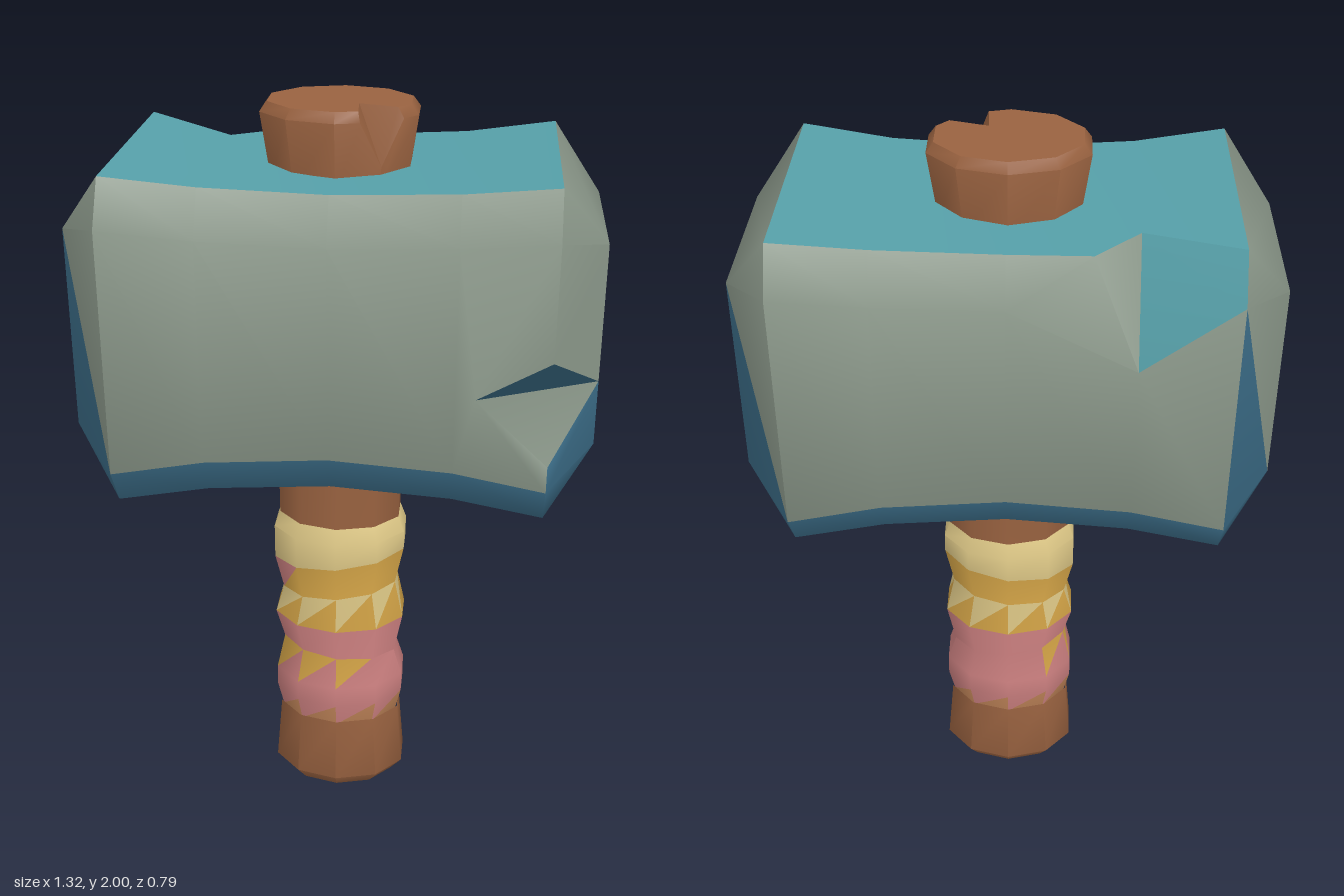
import * as THREE from 'three';
import { toCreasedNormals } from 'three/addons/utils/BufferGeometryUtils.js';

const GREY = 0x8c998b, BLUE = 0x3b6c87, TEAL = 0x56a0a9, BROWN = 0x996240;
const CREAM = 0xe0ca88, AMBER = 0xd6a648, PINK = 0xcc8080, TAN = 0xbd8257;

// Collects coloured polygons; every triangle is turned away from a reference point
class Faces {
  constructor() { this.byColor = new Map(); }
  add(color, ref, ...pts) {
    if (!this.byColor.has(color)) this.byColor.set(color, []);
    const out = this.byColor.get(color);
    for (let i = 1; i < pts.length - 1; i++) {
      const [a, b, c] = [pts[0], pts[i], pts[i + 1]];
      const n = b.clone().sub(a).cross(c.clone().sub(a));
      const mid = a.clone().add(b).add(c).divideScalar(3).sub(ref);
      const tri = n.dot(mid) >= 0 ? [a, b, c] : [a, c, b];
      tri.forEach(p => out.push(p.x, p.y, p.z));
    }
  }
  mesh(name) {
    const pos = [], mats = [], geo = new THREE.BufferGeometry();
    for (const [color, list] of this.byColor) {
      geo.addGroup(pos.length / 3, list.length / 3, mats.length);
      list.forEach(v => pos.push(v));
      mats.push(new THREE.MeshStandardMaterial({ color }));
    }
    geo.setAttribute('position', new THREE.Float32BufferAttribute(pos, 3));
    const mesh = new THREE.Mesh(toCreasedNormals(geo, Math.PI / 4), mats);
    mesh.name = name;
    return mesh;
  }
}

const V = (x, y, z) => new THREE.Vector3(x, y, z);

// Octagonal section of the head, flaring towards both ends
function section(x) {
  const t = (x / 0.54) ** 2;
  const top = 1.84 + 0.04 * t, bottom = 1.08 - 0.045 * t;
  const wall = 0.355 + 0.04 * t, flat = 0.29 + 0.035 * t;
  const half = [[top, flat], [top - 0.11, wall], [bottom + 0.105, wall], [bottom, flat]];
  return [...half.map(([y, z]) => V(x, y, z)), ...half.reverse().map(([y, z]) => V(x, y, -z))];
}

function createHead() {
  const f = new Faces(), mid = V(0, 1.46, 0);
  const add = (color, ...pts) => f.add(color, mid, ...pts);
  const S = [-0.54, -0.31, 0, 0.31, 0.54].map(section);
  const sides = [GREY, GREY, BLUE, BLUE, BLUE, GREY, GREY, TEAL];
  const skip = ['0,5', '0,6', '0,7', '1,5', '1,6', '1,7', '3,1'];
  for (let i = 0; i < 4; i++) {
    for (let j = 0; j < 8; j++) {
      if (skip.includes(`${i},${j}`)) continue;
      const k = (j + 1) % 8;
      add(sides[j], S[i][j], S[i][k], S[i + 1][k], S[i + 1][j]);
    }
  }

  // Chip in the upper back edge
  const [A, B, C] = S;
  const deep = V(-0.31, 1.58, -0.368), inner = V(-0.31, 1.853, -0.2), side = V(-0.2, 1.845, -0.3);
  add(TEAL, A[6], deep, inner, A[7]);
  add(GREY, inner, side, deep);
  add(GREY, A[5], A[6], deep, B[5]);
  add(TEAL, A[7], inner, B[0], A[0]);
  add(TEAL, C[0], C[7], side, inner, B[0]);
  add(GREY, C[6], C[7], side, deep, B[5], C[5]);

  // Chip in the front left corner
  const D = S[3], E = S[4];
  const tip = V(0.36, 1.37, 0.372), up = V(0.54, 1.48, 0.395), low = V(0.54, 1.21, 0.395);
  const end = V(0.66, 1.37, 0.225);
  add(GREY, tip, D[1], E[1], up);
  add(GREY, tip, low, E[2], D[2], D[1]);
  add(BLUE, tip, up, end);
  add(GREY, tip, low, end);

  // Bevelled striking ends
  for (const s of [-1, 1]) {
    const O = s < 0 ? A : E;
    const [TF, BF, BB, TB] = [[1.72, 1], [1.2, 1], [1.2, -1], [1.72, -1]]
      .map(([y, z]) => V(0.66 * s, y, 0.225 * z));
    add(GREY, O[7], O[0], TF, TB);
    add(GREY, O[0], O[1], TF);
    add(GREY, O[6], O[7], TB);
    add(BLUE, O[2], O[3], BF);
    add(BLUE, O[3], O[4], BB, BF);
    add(BLUE, O[4], O[5], BB);
    if (s < 0) {
      add(BLUE, TF, BF, O[2]);
      add(GREY, TF, O[1], O[2]);
      add(BLUE, O[6], O[5], BB);
      add(GREY, O[6], TB, BB);
      add(BLUE, TB, BB, BF);
      add(GREY, TB, TF, BF);
    } else {
      add(GREY, TF, O[1], up, end);
      add(BLUE, end, low, O[2], BF);
      add(BLUE, TB, BB, O[5]);
      add(GREY, TB, O[5], O[6]);
      add(BLUE, end, BF, BB);
      add(GREY, end, TF, TB, BB);
    }
  }
  return f.mesh('hammerHead');
}

// Ten-sided oval ring of the handle; tilt raises it towards +x
function ring(r, y, tilt = 0) {
  return Array.from({ length: 10 }, (_, k) => {
    const a = k * Math.PI / 5, x = r * Math.sin(a);
    return V(x, y + tilt * x, 0.8 * r * Math.cos(a));
  });
}

// Joins two rings; pick(k) gives the colours of the lower and upper triangle
function band(f, a, b, pick) {
  for (let k = 0; k < 10; k++) {
    const n = (k + 1) % 10, [lower, upper] = pick(k);
    const ref = V(0, (a[k].y + b[k].y) / 2, 0);
    f.add(lower, ref, a[k], a[n], b[n]);
    f.add(upper, ref, a[k], b[n], b[k]);
  }
}

function createShaft() {
  const f = new Faces(), brown = () => [BROWN, BROWN];
  // Pommel
  const base = ring(0.16, 0.012), rim = ring(0.194, 0.05);
  for (let k = 0; k < 10; k++) f.add(BROWN, V(0, 1, 0), V(0, 0, 0), base[k], base[(k + 1) % 10]);
  band(f, base, rim, brown);
  band(f, rim, ring(0.178, 0.24), brown);
  // Stem through the head
  const foot = ring(0.172, 0.85), b = ring(0.178, 1.8);
  band(f, foot, b, brown);

  // Flared top with a split at one corner
  const m = ring(0.205, 1.975), u = ring(0.186, 2);
  for (let k = 2; k < 10; k++) {
    const n = (k + 1) % 10, ref = V(0, 1.9, 0);
    f.add(BROWN, ref, b[k], b[n], m[n], m[k]);
    f.add(BROWN, ref, m[k], m[n], u[n], u[k]);
  }
  const ref = V(0, 1.8, 0), apex = V(0.05, 2, 0.05);
  const deep = b[1].clone().lerp(m[1], 0.36);
  const [m1, u1] = [m, u].map(r => r[0].clone().lerp(r[1], 0.5));
  const [m2, u2] = [m, u].map(r => r[1].clone().lerp(r[2], 0.55));
  f.add(BROWN, ref, b[0], b[1], deep, m1, m[0]);
  f.add(BROWN, ref, m[0], m1, u1, u[0]);
  f.add(BROWN, ref, b[1], b[2], m[2], m2, deep);
  f.add(BROWN, ref, m2, m[2], u[2], u2);
  f.add(BROWN, ref, deep, apex, u1, m1);
  f.add(BROWN, ref, deep, m2, u2, apex);
  f.add(BROWN, ref, apex, u2, ...u.slice(2), u[0], u1);
  return f.mesh('shaft');
}

// Bulging two-tone grip wrapping
function createGrip() {
  const f = new Faces();
  const rings = [
    [0.172, 0.23], [0.189, 0.3], [0.189, 0.36], [0.165, 0.45, -0.1], [0.189, 0.55],
    [0.165, 0.645, 0.1], [0.189, 0.75, 0.12], [0.189, 0.825], [0.172, 0.87],
  ].map(r => ring(...r));
  const colors = [
    () => [TAN, PINK],
    () => [PINK, PINK],
    k => [PINK, k === 0 || k > 5 ? AMBER : PINK],
    () => [PINK, PINK],
    () => [AMBER, CREAM],
    k => [AMBER, k === 8 ? PINK : AMBER],
    () => [CREAM, CREAM],
    () => [CREAM, CREAM],
  ];
  colors.forEach((pick, i) => band(f, rings[i], rings[i + 1], pick));
  return f.mesh('gripWrap');
}

export function createModel() {
  const model = new THREE.Group();
  model.name = 'hammer';
  model.add(createHead(), createShaft(), createGrip());
  return model;
}
